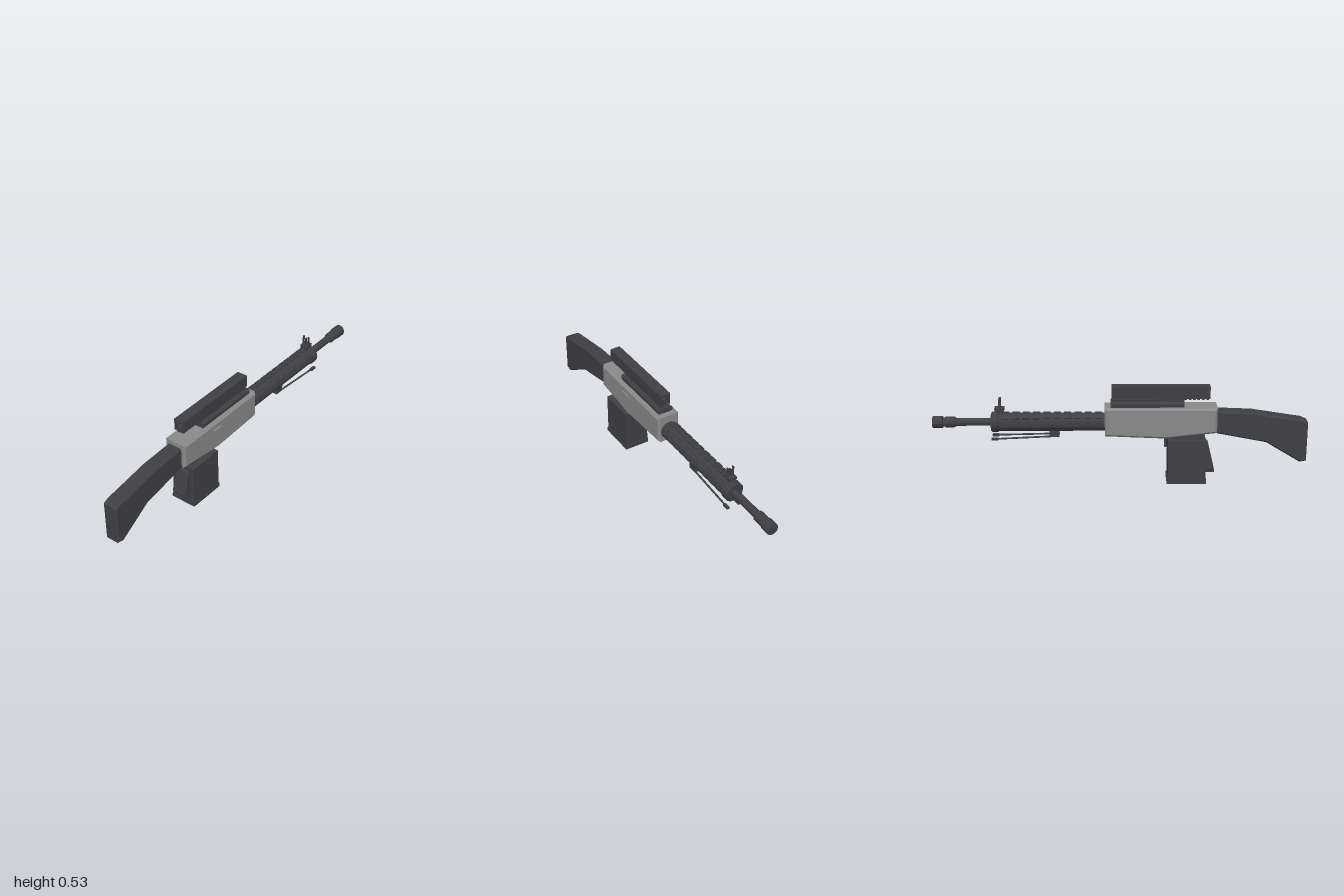
import * as THREE from 'three';

export function createModel() {
  const root = new THREE.Group();
  const mat = (name, color) => {
    const m = new THREE.MeshStandardMaterial({ color, flatShading: true });
    m.name = name;
    return m;
  };
  const dark = mat('dark gunmetal', 0x403f44);
  const grey = mat('receiver grey', 0x8a8a8a);

  const add = (name, geo, material, x = 0, y = 0, z = 0) => {
    const mesh = new THREE.Mesh(geo, material);
    mesh.name = name;
    mesh.position.set(x, y, z);
    root.add(mesh);
    return mesh;
  };
  // Box given by its limits on each axis
  const box = (name, [x0, x1], [y0, y1], [z0, z1], m = dark) =>
    add(name, new THREE.BoxGeometry(x1 - x0, y1 - y0, z1 - z0), m,
      (x0 + x1) / 2, (y0 + y1) / 2, (z0 + z1) / 2);
  // Side profile of [z, y] points, extruded across x with chamfered edges
  const profile = (name, pts, width, bevel, m = dark) => {
    const shape = new THREE.Shape(pts.map(p => new THREE.Vector2(p[0], p[1])));
    const geo = new THREE.ExtrudeGeometry(shape, {
      depth: width - 2 * bevel, bevelEnabled: bevel > 0, bevelSize: bevel,
      bevelThickness: bevel, bevelOffset: -bevel, bevelSegments: 1,
    });
    geo.translate(0, 0, -(width - 2 * bevel) / 2);
    geo.rotateY(-Math.PI / 2);
    return add(name, geo, m);
  };
  // Turned part along z: list of [z, radius]
  const AXIS_Y = 0.333;
  const turned = (name, pts, sides) => {
    const geo = new THREE.LatheGeometry(pts.map(p => new THREE.Vector2(p[1], -p[0])), sides);
    geo.rotateX(-Math.PI / 2);
    return add(name, geo, dark, 0, AXIS_Y, 0);
  };

  // Stock
  profile('stock', [[0.5, 0.28], [0.78, 0.226], [0.965, 0.113], [1, 0.121], [1, 0.335],
    [0.968, 0.35], [0.7, 0.392], [0.5, 0.4]], 0.084, 0.007);

  // Receiver and the raised plate on its left side
  profile('receiver', [[0.515, 0.285], [0.245, 0.254], [-0.082, 0.268], [-0.082, 0.423],
    [0.515, 0.423]], 0.128, 0.011, grey);
  box('ejectionPort', [0.06, 0.072], [0.36, 0.386], [0.222, 0.284], grey);

  // Sight mount
  const mount = new THREE.Shape();
  [[-0.042, 0.42], [0.042, 0.42], [0.042, 0.442], [0.034, 0.451], [-0.034, 0.451], [-0.042, 0.442]]
    .forEach((p, i) => (i ? mount.lineTo(...p) : mount.moveTo(...p)));
  add('sightMount', new THREE.ExtrudeGeometry(mount, { depth: 0.39, bevelEnabled: false }),
    dark, 0, 0, -0.05);
  box('mountRail', [-0.022, 0.022], [0.448, 0.461], [-0.04, 0.34]);
  for (let i = 0; i < 22; i++) {
    const z = -0.036 + i * 0.0235;
    box('railTooth', [-0.02, 0.02], [0.458, 0.47], [z, z + 0.013]);
  }
  // Long sight: open channel above a centre rib
  box('sightTop', [-0.03, 0.029], [0.519, 0.533], [-0.045, 0.477]);
  for (const s of [-1, 1]) {
    const x = s * 0.0245;
    box('sightWall', [x - 0.005, x + 0.005], [0.467, 0.52], [-0.045, 0.477]);
  }
  box('sightRib', [-0.012, 0.012], [0.467, 0.5], [-0.04, 0.472]);
  box('sightFloor', [-0.022, 0.022], [0.467, 0.471], [-0.04, 0.472]);

  // Handguard with end collar and rows of raised slats
  turned('handguard', [[-0.07, 0], [-0.07, 0.049], [-0.645, 0.049], [-0.65, 0.055],
    [-0.68, 0.055], [-0.687, 0.048], [-0.687, 0]], 16);
  for (const a of [-Math.PI / 2, -Math.PI / 4, 0, Math.PI / 4, Math.PI / 2]) {
    for (let i = 0; i < 10; i++) {
      const slat = box('handguardSlat', [-0.009, 0.009], [-0.006, 0.006], [-0.018, 0.018]);
      slat.position.set(Math.sin(a) * 0.048, AXIS_Y + Math.cos(a) * 0.048, -0.115 - i * 0.055);
      slat.rotation.z = -a;
    }
  }

  // Barrel and muzzle brake
  turned('barrel', [[-0.68, 0.021], [-0.89, 0.021]], 12);
  turned('muzzleBrake', [[-0.875, 0], [-0.875, 0.024], [-0.882, 0.029], [-0.93, 0.029],
    [-0.934, 0.024], [-0.942, 0.024], [-0.946, 0.033], [-0.995, 0.033], [-1, 0.029], [-1, 0]], 12);

  // Front sight with three prongs
  box('frontSightFoot', [-0.012, 0.012], [0.38, 0.402], [-0.655, -0.625]);
  box('frontSightBase', [-0.022, 0.022], [0.398, 0.415], [-0.667, -0.617]);
  for (const x of [-0.016, 0, 0.016]) {
    box('frontSightProng', [x - 0.003, x + 0.003], [0.41, x ? 0.465 : 0.455], [-0.646, -0.634]);
  }

  // Folded bipod
  box('bipodBlock', [-0.028, 0.028], [0.255, 0.292], [-0.376, -0.325]);
  for (const s of [-1, 1]) {
    const path = new THREE.LineCurve3(new THREE.Vector3(s * 0.022, 0.259, -0.34),
      new THREE.Vector3(s * 0.034, 0.248, -0.67));
    add('bipodLeg', new THREE.TubeGeometry(path, 1, 0.005, 6), dark);
    const foot = box('bipodFoot', [-0.008, 0.008], [-0.006, 0.006], [-0.018, 0.018]);
    foot.position.set(s * 0.034, 0.248, -0.668);
  }

  // Magazine, base lip and feed neck
  box('magazine', [-0.069, 0.069], [0.01, 0.242], [0.255, 0.458]);
  box('magazineBase', [-0.072, 0.072], [0, 0.024], [0.25, 0.462]);
  profile('magazineNeck', [[0.3, 0.238], [0.285, 0.275], [0.43, 0.285], [0.445, 0.238]], 0.07, 0.004);
  // Ribs on the left side of the magazine
  for (let i = 0; i < 6; i++) {
    const z = 0.275 + i * 0.028;
    box('magazineRib', [0.066, 0.072], [0.055, 0.192], [z, z + 0.013]);
  }
  // Sloped handle behind the magazine
  profile('rearHandle', [[0.45, 0.06], [0.502, 0.066], [0.503, 0.085], [0.472, 0.215],
    [0.45, 0.225]], 0.083, 0.008);
  box('handleLip', [-0.035, 0.035], [0.054, 0.066], [0.455, 0.507]);
  // Release catch in front of the magazine
  add('releaseCatch', new THREE.CylinderGeometry(0.008, 0.008, 0.075, 8), dark, 0, 0.228, 0.244);

  return root;
}
